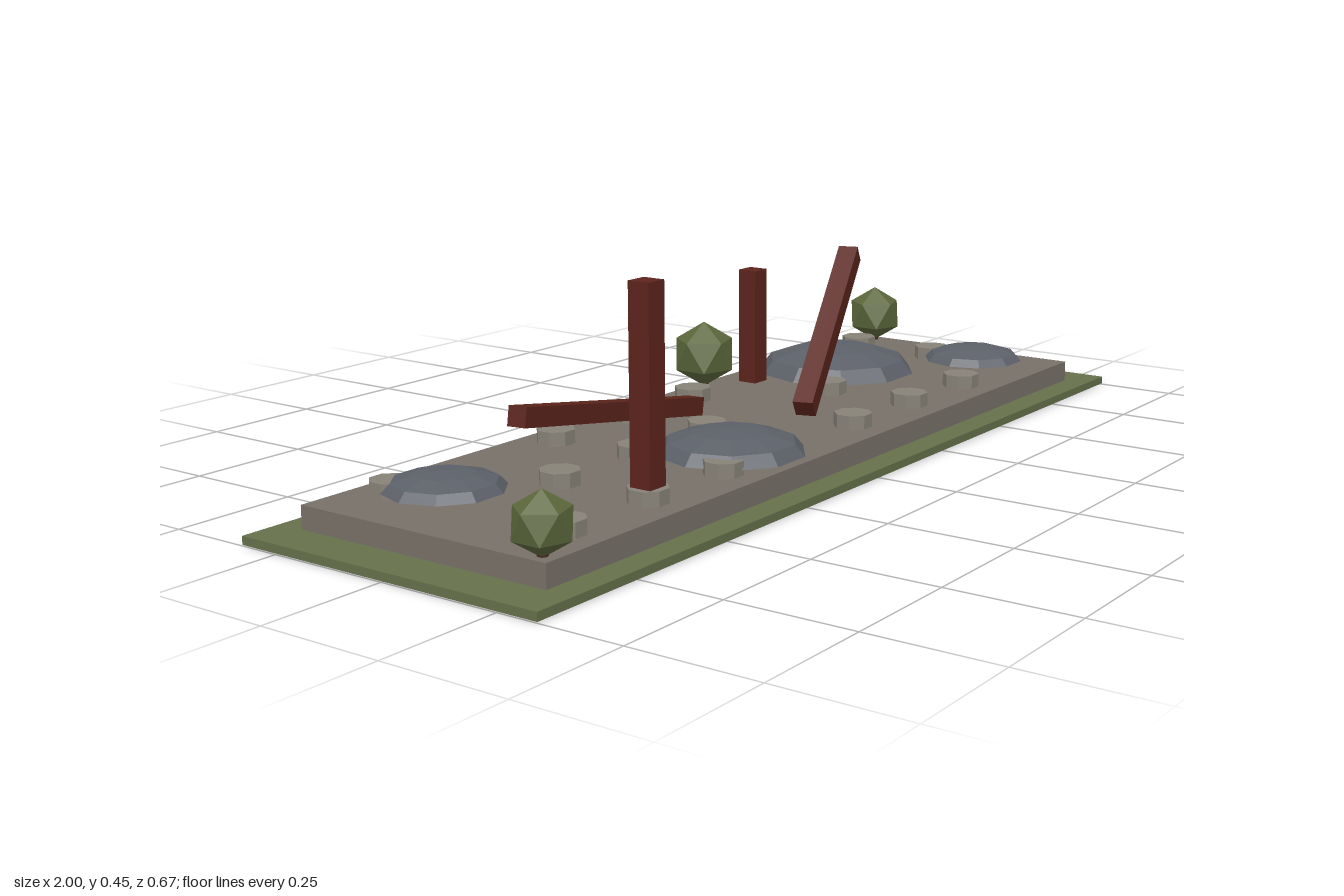
import * as THREE from 'three';

const mat = (color, extra = {}) => new THREE.MeshStandardMaterial({ color, flatShading: true, ...extra });

export function createModel() {
  const root = new THREE.Group();
  const grass = mat(0x66704a), paving = mat(0x787068), stone = mat(0x878278);
  const rubble = mat(0x5c6068, { side: THREE.DoubleSide });
  const wood = mat(0x5c241c), leaf = mat(0x5c683c), bark = mat(0x4a2a20);

  const add = (name, geometry, material, x, y, z) => {
    const mesh = new THREE.Mesh(geometry, material);
    mesh.name = name;
    mesh.position.set(x, y, z);
    root.add(mesh);
    return mesh;
  };

  // Grass slab and the paved floor set into it
  add('grassBase', new THREE.BoxGeometry(2, 0.016, 0.666), grass, 0, 0.01, 0);
  add('stonePlatform', new THREE.BoxGeometry(1.83, 0.061, 0.556), paving, 0, 0.0315, 0);

  // Column footings: three rows with some missing (column numbers 0..7)
  const footing = new THREE.CylinderGeometry(0.039, 0.039, 0.028, 8);
  footing.rotateY(Math.PI / 8);
  const rows = [[-0.2, [0, 2, 3, 4, 7]], [0, [1, 2, 3, 5, 7]], [0.2, [0, 1, 2, 4, 5, 6]]];
  for (const [z, columns] of rows) {
    for (const i of columns) add('columnFooting', footing, stone, -0.778 + i * 0.2223, 0.076, z);
  }

  // Low faceted rubble mounds: x, z, radius, height
  const dome = new THREE.SphereGeometry(1, 10, 3, 0, Math.PI * 2, 0, Math.PI / 2);
  for (const [x, z, r, h] of [
    [-0.725, -0.12, 0.113, 0.033], [-0.225, 0.14, 0.145, 0.045],
    [0.5, -0.087, 0.175, 0.058], [0.777, 0.11, 0.111, 0.032],
  ]) add('rubbleMound', dome, rubble, x, 0.073, z).scale.set(r, h, r);

  // Standing posts: x, z, bottom, top
  for (const [x, z, y0, y1] of [[-0.556, 0.2, 0.062, 0.452], [0.333, -0.2, 0.062, 0.312]]) {
    add('standingPost', new THREE.BoxGeometry(0.044, y1 - y0, 0.044), wood, x, (y0 + y1) / 2, z);
  }

  // Fallen beams between two end points
  const beam = (a, b, width) => {
    const p = new THREE.Vector3(...a), d = new THREE.Vector3(...b).sub(p);
    const mesh = add('fallenBeam', new THREE.BoxGeometry(d.length(), width, width), wood, 0, 0, 0);
    mesh.position.copy(p).addScaledVector(d, 0.5);
    mesh.rotation.set(0, Math.atan2(-d.z, d.x), Math.atan2(d.y, Math.hypot(d.x, d.z)), 'YZX');
  };
  beam([-0.655, 0.204, -0.01], [-0.008, 0.085, -0.105], 0.037);
  beam([0.108, 0.081, 0.085], [0.443, 0.35, -0.019], 0.042);

  // Bushes on short stems: x, z, radius, centre height
  const crown = new THREE.IcosahedronGeometry(1, 0);
  crown.rotateZ(Math.atan(2 / (1 + Math.sqrt(5))));
  for (const [x, z, r, y] of [
    [-0.89, 0.25, 0.057, 0.116], [0.22, -0.25, 0.071, 0.136], [0.886, -0.222, 0.065, 0.126],
  ]) {
    add('bushCrown', crown, leaf, x, y, z).scale.setScalar(r);
    add('bushStem', new THREE.CylinderGeometry(0.01, 0.01, y, 6), bark, x, y / 2, z);
  }

  return root;
}
